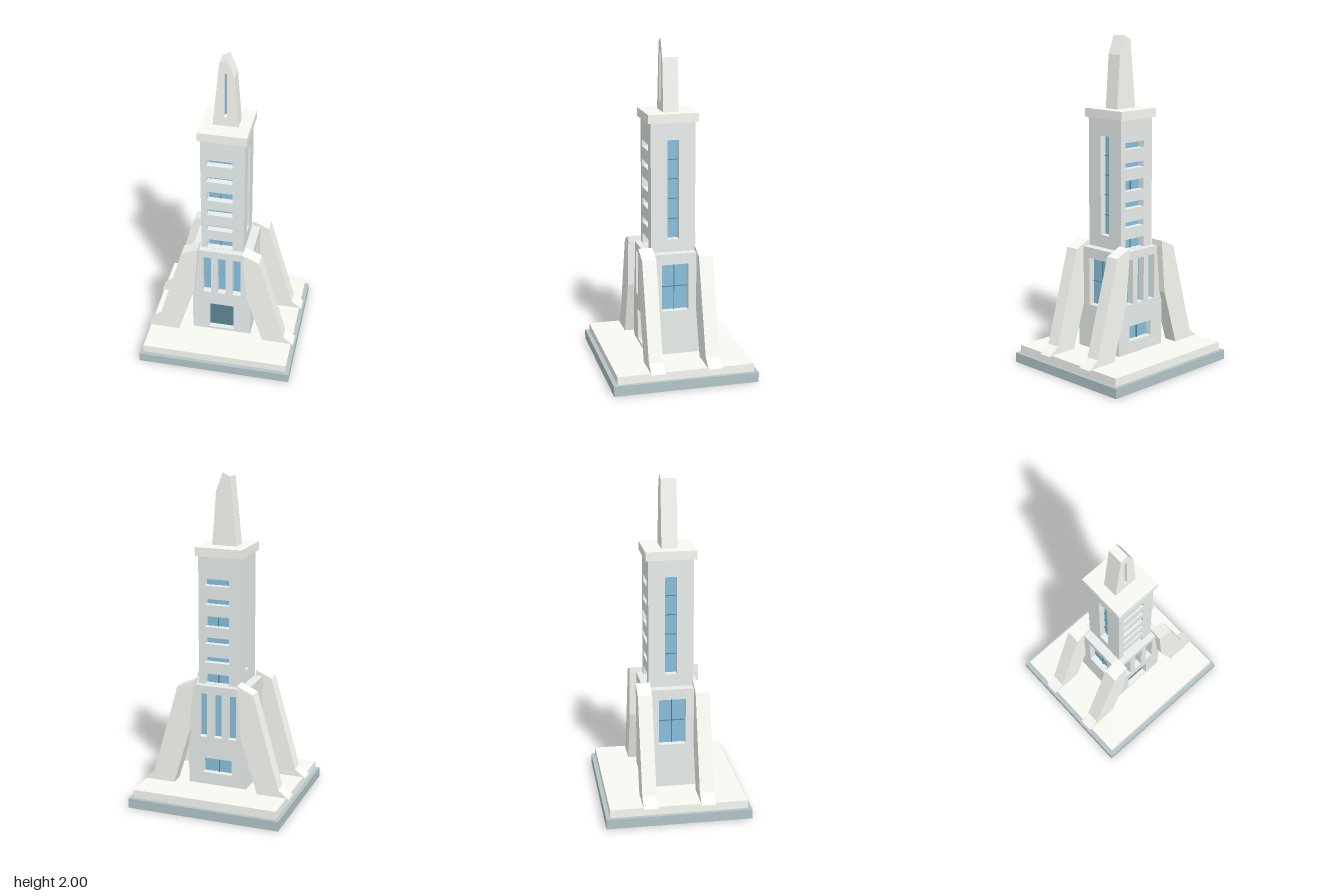
import * as THREE from 'three';

const mat = (color) => new THREE.MeshStandardMaterial({ color });
const trim = mat(0xf9f9f4), wall = mat(0xe9efee), plinth = mat(0xb3c5c8);
const glass = mat(0x88c1de), dark = mat(0x5c8694);
const D = 0.04; // depth of the window recesses

function shapeOf(points) {
  return new THREE.Shape(points.map(([x, y]) => new THREE.Vector2(x, y)));
}

function rectPoints([x0, x1, y0, y1]) {
  return [[x0, y0], [x1, y0], [x1, y1], [x0, y1]];
}

function extrude(name, points, holes, depth, material) {
  const shape = shapeOf(points);
  for (const h of holes) shape.holes.push(shapeOf(rectPoints(h)));
  const mesh = new THREE.Mesh(new THREE.ExtrudeGeometry(shape, { depth, bevelEnabled: false }), material);
  mesh.name = name;
  return mesh;
}

// Box centred on x and z, standing between two heights
function block(name, w, d, y0, y1, material) {
  const mesh = new THREE.Mesh(new THREE.BoxGeometry(w, y1 - y0, d), material);
  mesh.position.y = (y0 + y1) / 2;
  mesh.name = name;
  return mesh;
}

// One pierced wall with its glazing bars; bars are [x0, x1, y0, y1]
function facade(name, width, y0, y1, holes, bars, angle, dist) {
  const g = new THREE.Group();
  g.name = name;
  const panel = extrude('wallPanel', rectPoints([-width / 2, width / 2, y0, y1]), holes, D, wall);
  panel.position.z = dist - D;
  g.add(panel);
  for (const [a, b, c, d] of bars) {
    const bar = block('glazingBar', b - a, 0.008, c, d, dark);
    bar.position.x = (a + b) / 2;
    bar.position.z = dist - D + 0.004;
    g.add(bar);
  }
  g.rotation.y = angle;
  return g;
}

const T = 0.002; // half thickness of glazing bars
const vBar = (x, y0, y1) => [x - T, x + T, y0, y1];
const hBar = (y, x0, x1) => [x0, x1, y - T, y + T];

export function createModel() {
  const model = new THREE.Group();
  model.name = 'tower';

  // Stepped base
  model.add(block('plinth', 0.95, 0.875, 0, 0.06, plinth));
  model.add(block('terrace', 0.906, 0.826, 0.06, 0.11, trim));

  // Lower hall: glazed core behind four pierced walls
  const hall = new THREE.Group();
  hall.name = 'lowerHall';
  const hx = 0.185, hz = 0.172;
  hall.add(block('hallGlass', 2 * (hx - D), 2 * (hz - D), 0.11, 0.72, glass));
  hall.add(block('hallRoof', 2 * hx, 2 * hz, 0.72, 0.74, wall));
  const tall = [-0.0925, 0, 0.0925].map((x) => [x - 0.026, x + 0.026, 0.415, 0.69]);
  const doorway = [-0.08, 0.077, 0.125, 0.32];
  const rearWindow = [-0.095, 0.09, 0.185, 0.28];
  const sideWindow = [-0.081, 0.081, 0.385, 0.675];
  hall.add(facade('hallFront', 2 * hx, 0.11, 0.72, [...tall, doorway], [], 0, hz));
  hall.add(facade('hallBack', 2 * hx, 0.11, 0.72, [...tall, rearWindow], [vBar(0, 0.185, 0.28)], Math.PI, hz));
  for (const s of [-1, 1]) {
    hall.add(facade('hallSide', 2 * (hz - D), 0.11, 0.72, [sideWindow],
      [vBar(0, 0.385, 0.675), hBar(0.53, -0.081, 0.081)], s * Math.PI / 2, hx));
  }
  const door = block('door', 0.157, 0.006, 0.125, 0.32, dark);
  door.position.x = -0.0015;
  door.position.z = hz - D + 0.003;
  hall.add(door);
  model.add(hall);

  // Upper shaft with slit windows front and back, tall slots on the sides
  const shaft = new THREE.Group();
  shaft.name = 'shaft';
  const sx = 0.131, sz = 0.135;
  shaft.add(block('shaftGlass', 2 * (sx - D), 2 * (sz - D), 0.73, 1.53, glass));
  const rows = [[1.345, 1.385], [1.23, 1.265], [1.095, 1.16], [0.99, 1.03], [0.875, 0.91], [0.742, 0.805]];
  const slits = rows.map(([a, b]) => [-0.095, 0.06, a, b]);
  const slitBars = [rows[2], rows[5]].map(([a, b]) => vBar(-0.018, a, b));
  const slot = [-0.035, 0.035, 0.817, 1.417];
  const slotBars = [0.935, 1.058, 1.178, 1.295].map((y) => hBar(y, -0.035, 0.035));
  for (const a of [0, Math.PI]) shaft.add(facade('shaftFace', 2 * sx, 0.73, 1.525, slits, slitBars, a, sz));
  for (const s of [-1, 1]) {
    shaft.add(facade('shaftSide', 2 * (sz - D), 0.73, 1.525, [slot], slotBars, s * Math.PI / 2, sx));
  }
  model.add(shaft);
  model.add(block('cornice', 0.29, 0.305, 1.52, 1.573, trim));

  // Lopsided spire with a slit in its front layer
  const spire = new THREE.Group();
  spire.name = 'spire';
  const outline = [[-0.076, 1.57], [0.076, 1.57], [0.052, 1.89], [0.01, 2], [-0.035, 1.977]];
  const rear = extrude('spireBody', outline, [], 0.056, trim);
  rear.position.z = -0.048;
  const front = extrude('spireFront', outline, [[-0.009, 0.009, 1.63, 1.912]], 0.038, trim);
  front.position.z = 0.008;
  const slit = block('spireSlit', 0.018, 0.004, 1.63, 1.912, glass);
  slit.position.z = 0.01;
  spire.add(rear, front, slit);
  model.add(spire);

  // Four raking buttresses, mirrored left and right
  const leg = [[0.27, 0.105], [0.467, 0.105], [0.403, 0.155], [0.24, 0.73], [0.14, 0.775], [0.14, 0.735], [0.165, 0.45]];
  for (const s of [-1, 1]) {
    const points = leg.map(([x, y]) => [s * x, y]);
    for (const z of [-0.215, 0.13]) {
      const b = extrude('buttress', points, [], 0.085, trim);
      b.position.z = z;
      model.add(b);
    }
  }
  return model;
}
